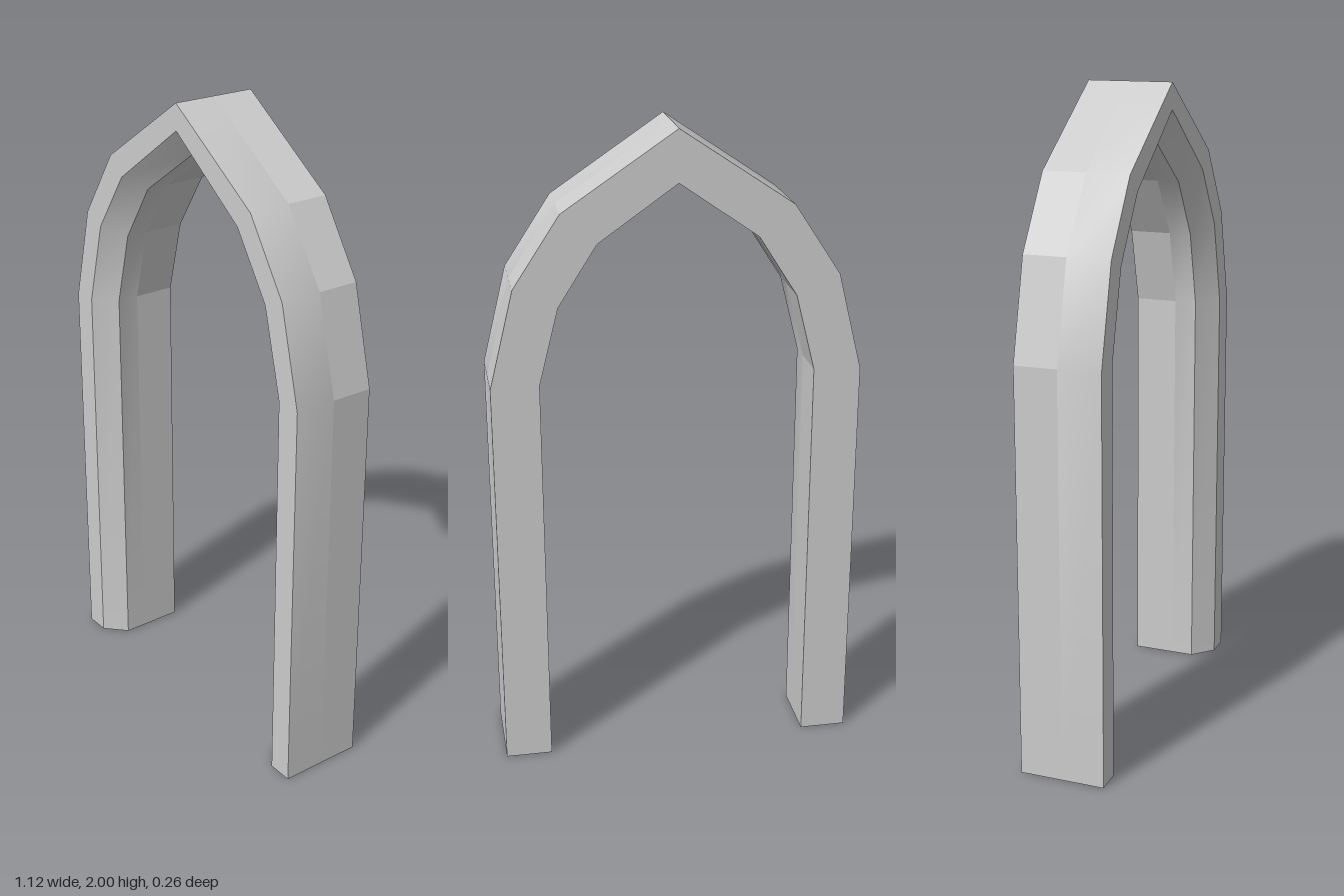
import * as THREE from 'three';
import { toCreasedNormals } from 'three/addons/utils/BufferGeometryUtils.js';

const HALF_DEPTH = 0.1325, CHAMFER_Z = 0.07;

// Profile lines of one side, from the foot to the apex
const OUTER = [[0.56, 0], [0.56, 1.255], [0.485, 1.555], [0.343, 1.77], [0, 2]];
const MIDDLE = [[0.48, 0], [0.48, 1.26], [0.412, 1.525], [0.285, 1.715], [0, 1.92]];
const INNER = [[0.415, 0], [0.415, 1.26], [0.355, 1.495], [0.238, 1.678], [0, 1.845]];

// Continue a side profile over the apex down to the other foot
const mirrored = (line) => [...line, ...line.slice(0, -1).reverse().map(([x, y]) => [-x, y])];

// Sweep an open section, given as [profile line, z] pairs, along the arch and cap the feet
function sweep(section) {
  const rails = section.map(([line, z]) => mirrored(line).map(([x, y]) => [x, y, z]));
  const last = rails[0].length - 1;
  const positions = [];
  const tri = (...corners) => corners.forEach((p) => positions.push(...p));
  for (let r = 0; r < rails.length - 1; r++) {
    const a = rails[r], b = rails[r + 1];
    for (let i = 0; i < last; i++) {
      tri(a[i], a[i + 1], b[i]);
      tri(b[i], a[i + 1], b[i + 1]);
    }
    if (r > 0) {
      tri(rails[0][0], a[0], b[0]);
      tri(rails[0][last], b[last], a[last]);
    }
  }
  const geometry = new THREE.BufferGeometry();
  geometry.setAttribute('position', new THREE.Float32BufferAttribute(positions, 3));
  geometry.computeVertexNormals();
  return geometry;
}

export function createModel() {
  const group = new THREE.Group();
  group.name = 'pointedArch';

  // Front half: chamfered inner edge, smooth along the curve with a sharp apex
  const front = new THREE.Mesh(
    toCreasedNormals(sweep([
      [OUTER, 0], [OUTER, HALF_DEPTH], [MIDDLE, HALF_DEPTH], [INNER, CHAMFER_Z], [INNER, 0],
    ]), 0.6),
    new THREE.MeshStandardMaterial({ color: 0xcccccc }),
  );
  front.name = 'frontChamferedArch';

  // Back half: plain square section with faceted segments
  const back = new THREE.Mesh(
    sweep([[INNER, 0], [INNER, -HALF_DEPTH], [OUTER, -HALF_DEPTH], [OUTER, 0]]),
    new THREE.MeshStandardMaterial({ color: 0xcccccc, flatShading: true }),
  );
  back.name = 'backSquareArch';

  group.add(front, back);
  return group;
}
